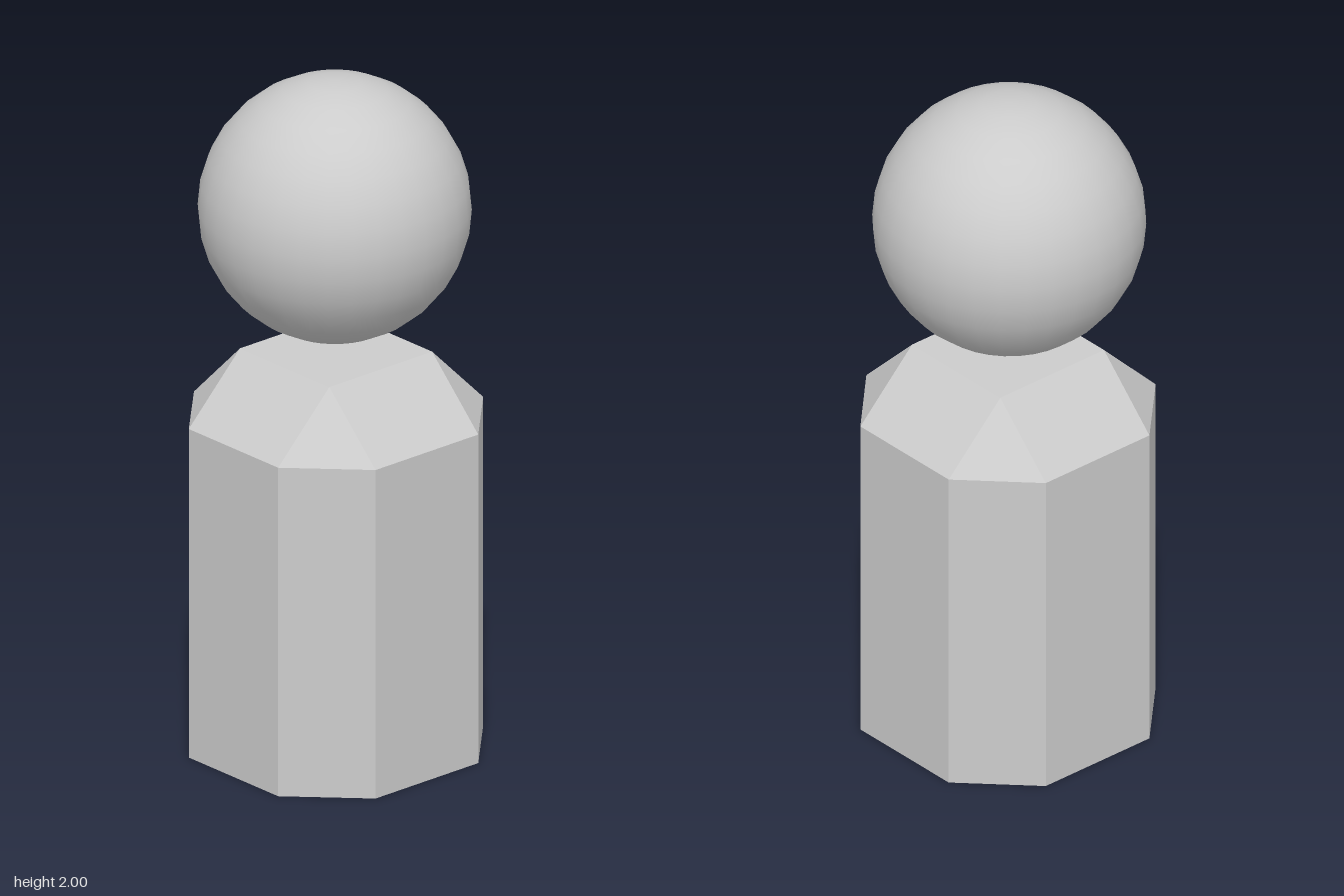
import * as THREE from 'three';

const grey = (flat) => new THREE.MeshStandardMaterial({ color: 0xcccccc, flatShading: flat });

// Outer and inner limits of the eight-sided body
const X = [-0.388, 0.381], Z = [-0.374, 0.388];
const x = [-0.196, 0.189], z = [-0.181, 0.194];

// Octagon, anticlockwise from above, and the inner corner each point slopes up to
const octagon = [
  [X[1], z[1]], [X[1], z[0]], [x[1], Z[0]], [x[0], Z[0]],
  [X[0], z[0]], [X[0], z[1]], [x[0], Z[1]], [x[1], Z[1]],
];
const square = octagon.map(([px, pz]) => [
  THREE.MathUtils.clamp(px, x[0], x[1]),
  THREE.MathUtils.clamp(pz, z[0], z[1]),
]);

function loftRings(rings) {
  const positions = [];
  const tri = (a, b, c) => {
    if (a.equals(b) || b.equals(c) || a.equals(c)) return;
    for (const p of [a, b, c]) positions.push(p.x, p.y, p.z);
  };
  // Side walls
  for (let r = 0; r + 1 < rings.length; r++) {
    const low = rings[r], high = rings[r + 1];
    for (let i = 0; i < low.length; i++) {
      const j = (i + 1) % low.length;
      tri(low[i], low[j], high[j]);
      tri(low[i], high[j], high[i]);
    }
  }
  // End caps
  const base = rings[0], top = rings[rings.length - 1];
  for (let i = 1; i + 1 < base.length; i++) {
    tri(base[0], base[i + 1], base[i]);
    tri(top[0], top[i], top[i + 1]);
  }
  const geometry = new THREE.BufferGeometry();
  geometry.setAttribute('position', new THREE.Float32BufferAttribute(positions, 3));
  geometry.computeVertexNormals();
  return geometry;
}

export function createModel() {
  const model = new THREE.Group();
  model.name = 'figure';

  // Faceted body with sloped shoulders
  const ring = (points, y) => points.map(([px, pz]) => new THREE.Vector3(px, y, pz));
  const body = new THREE.Mesh(
    loftRings([ring(octagon, 0), ring(octagon, 0.996), ring(square, 1.187)]),
    grey(true),
  );
  body.name = 'body';

  // Smooth head floating above the body
  const head = new THREE.Mesh(new THREE.SphereGeometry(0.384, 32, 16), grey(false));
  head.name = 'head';
  head.position.set(0.002, 1.616, -0.005);

  model.add(body, head);
  return model;
}
